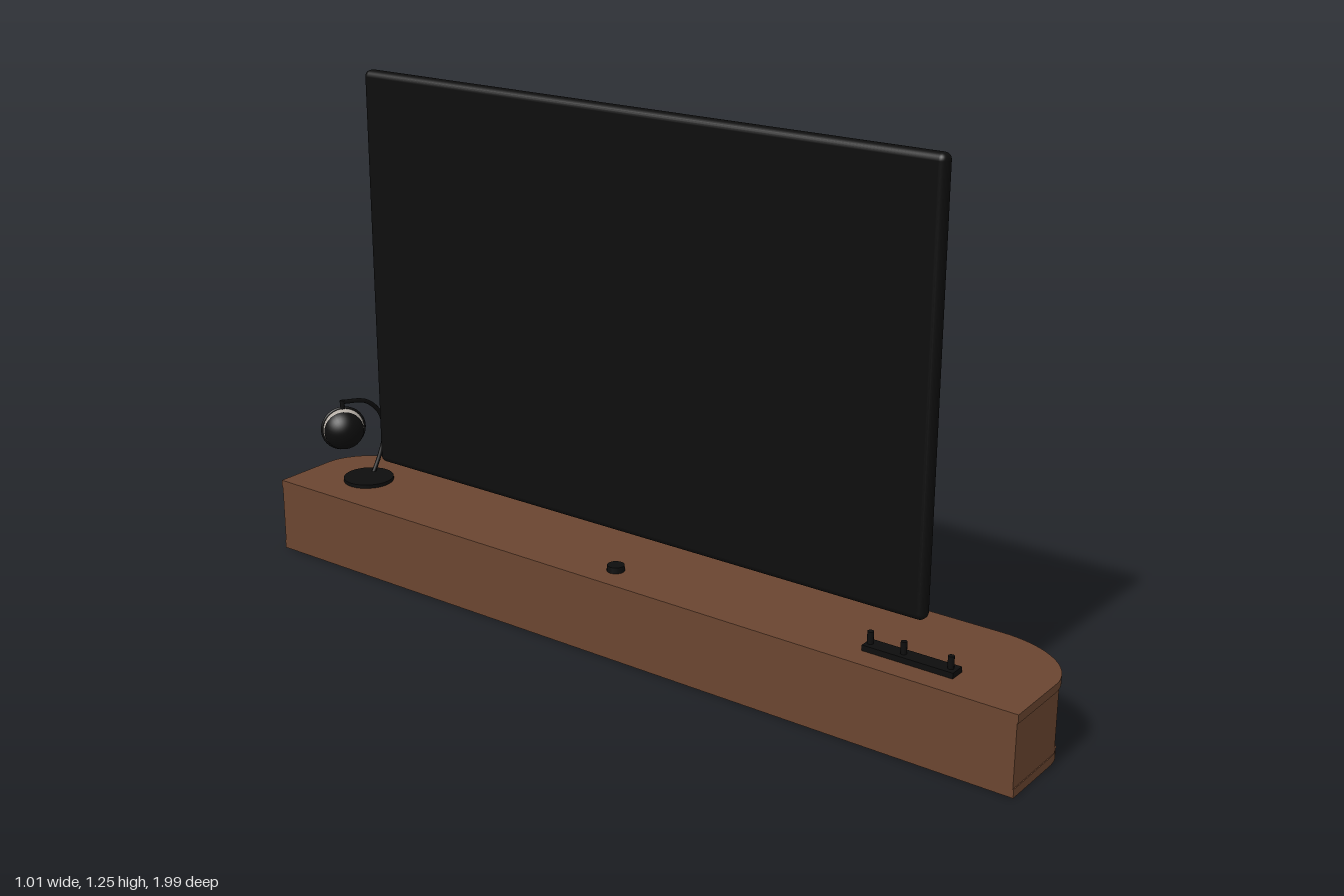
import * as THREE from 'three';
import { RoundedBoxGeometry } from 'three/addons/geometries/RoundedBoxGeometry.js';

const mat = (name, color) => {
  const m = new THREE.MeshStandardMaterial({ color });
  m.name = name;
  return m;
};

export function createModel() {
  const wood = mat('walnut', 0x6a4530);
  const black = mat('black', 0x0d0d0d);
  const glass = mat('paleGlass', 0xb5aea6);

  const root = new THREE.Group();
  root.name = 'mediaConsole';

  // Local axes: x = depth towards the open side, z = length
  const unit = new THREE.Group();
  unit.name = 'console';
  unit.rotation.y = 0.3855;
  unit.position.set(-0.004, 0, -0.008);
  root.add(unit);

  const add = (parent, name, geometry, material, x = 0, y = 0, z = 0) => {
    const mesh = new THREE.Mesh(geometry, material);
    mesh.name = name;
    mesh.position.set(x, y, z);
    parent.add(mesh);
    return mesh;
  };
  // Box given by its limits
  const box = (name, material, x0, x1, y0, y1, z0, z1) =>
    add(unit, name, new THREE.BoxGeometry(x1 - x0, y1 - y0, z1 - z0), material,
      (x0 + x1) / 2, (y0 + y1) / 2, (z0 + z1) / 2);

  // Boards with two rounded front corners
  const board = (name, y, front) => {
    const s = new THREE.Shape();
    const rx = front - 0.04;
    s.moveTo(-0.123, -1.037);
    s.lineTo(0.04, -1.037);
    s.absellipse(0.04, -0.837, rx, 0.2, -Math.PI / 2, 0, false);
    s.lineTo(front, 0.837);
    s.absellipse(0.04, 0.837, rx, 0.2, 0, Math.PI / 2, false);
    s.lineTo(-0.123, 1.037);
    s.closePath();
    const g = new THREE.ExtrudeGeometry(s, { depth: 0.02, bevelEnabled: false, curveSegments: 20 });
    g.rotateX(-Math.PI / 2);
    add(unit, name, g, wood, 0, y, 0);
  };
  board('bottomBoard', 0, 0.178);
  board('topBoard', 0.165, 0.19);

  // Carcass
  box('backPanel', wood, -0.123, -0.105, 0.02, 0.165, -1.035, 1.035);
  for (const s of [-1, 1]) {
    box('endPanel', wood, -0.105, 0.06, 0.02, 0.165, s > 0 ? 1.015 : -1.035, s > 0 ? 1.035 : -1.015);
  }
  box('drawerBody', wood, -0.105, 0.168, 0.02, 0.165, -0.49, 0.49);
  box('drawerFront', wood, 0.168, 0.176, 0.024, 0.158, -0.487, 0.487);
  box('drawerHandle', black, 0.176, 0.194, 0.109, 0.122, -0.09, 0.085);

  // Shelf contents
  box('mediaPlayer', black, -0.03, 0.1, 0.024, 0.05, 0.6, 0.91);
  [0.74, 0.785, 0.83, 0.875].forEach((z, i) => {
    box('book', black, -0.08, 0.04, 0.05, 0.15 - 0.015 * (i % 2), z, z + 0.035).rotation.x = -0.12;
  });
  box('leaningBook', black, -0.08, 0.06, 0.07, 0.16, 0.5, 0.55).rotation.x = 0.15;
  box('tray', black, -0.04, 0.1, 0.032, 0.046, -0.85, -0.58);
  const vase = [[0, 0.046], [0.03, 0.048], [0.058, 0.075], [0.062, 0.1], [0.04, 0.13], [0.025, 0.142], [0, 0.142]];
  add(unit, 'vase', new THREE.LatheGeometry(vase.map(p => new THREE.Vector2(...p)), 20), black, 0.01, 0, -0.76);

  // Screen
  add(unit, 'screen', new RoundedBoxGeometry(0.036, 0.976, 1.54, 3, 0.015), black, -0.02, 0.76, 0);

  // Small holder with posts
  box('holderBase', black, -0.066, -0.028, 0.185, 0.198, 0.645, 0.86);
  for (const z of [0.655, 0.735, 0.845]) {
    add(unit, 'holderPost', new THREE.CylinderGeometry(0.007, 0.007, 0.04, 10), black, -0.048, 0.206, z);
  }
  add(unit, 'cablePuck', new THREE.CylinderGeometry(0.02, 0.021, 0.014, 20), black, -0.052, 0.192, -0.015);

  // Globe lamp, placed along the world axes
  const lamp = new THREE.Group();
  lamp.name = 'lamp';
  root.add(lamp);
  add(lamp, 'lampBase', new THREE.CylinderGeometry(0.063, 0.063, 0.009, 32), black, -0.315, 0.1895, -0.815);
  const arm = new THREE.CatmullRomCurve3([
    [-0.29, 0.19, -0.843], [-0.268, 0.235, -0.848], [-0.252, 0.285, -0.853],
    [-0.262, 0.345, -0.85], [-0.305, 0.388, -0.838], [-0.372, 0.402, -0.823],
  ].map(p => new THREE.Vector3(...p)));
  add(lamp, 'lampArm', new THREE.TubeGeometry(arm, 32, 0.0055, 8), black);
  add(lamp, 'lampStem', new THREE.CylinderGeometry(0.006, 0.006, 0.03, 10), black, -0.374, 0.391, -0.823);
  add(lamp, 'globe', new THREE.SphereGeometry(0.052, 28, 20), glass, -0.374, 0.333, -0.823);
  // Dark shade shell over one side of the globe
  const shade = new THREE.SphereGeometry(0.054, 28, 10, 0, Math.PI * 2, 0, 1.15);
  shade.rotateX(Math.PI / 2);
  add(lamp, 'globeShade', shade, black, -0.374, 0.333, -0.823).rotation.y = -0.3;
  // Thin ring that carries the globe
  add(lamp, 'globeRing', new THREE.TorusGeometry(0.053, 0.004, 8, 36), black, -0.374, 0.333, -0.823).rotation.y = -0.2;

  return root;
}
